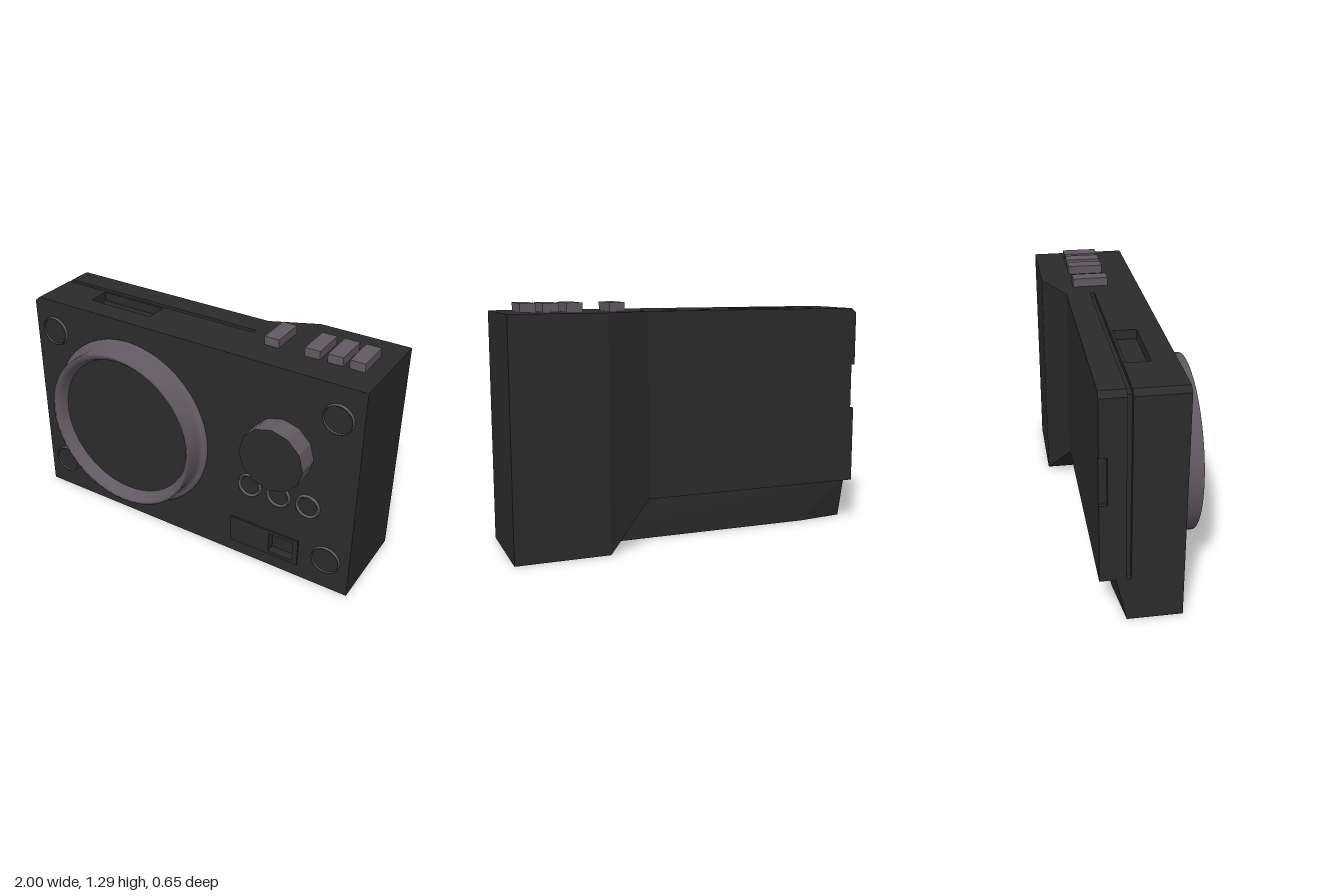
import * as THREE from 'three';
import { ConvexGeometry } from 'three/addons/geometries/ConvexGeometry.js';

const FRONT = 0.205, TOP = 1.24, STEP = 0.245;

export function createModel() {
  const model = new THREE.Group();
  model.name = 'pocketCamera';
  const black = new THREE.MeshStandardMaterial({ color: 0x2b2b2b });
  black.name = 'matte black';
  const grey = new THREE.MeshStandardMaterial({ color: 0x625a62 });
  grey.name = 'mauve grey';

  function add(name, geometry, material, x = 0, y = 0, z = 0) {
    const mesh = new THREE.Mesh(geometry, material);
    mesh.name = name;
    mesh.position.set(x, y, z);
    model.add(mesh);
    return mesh;
  }
  const shapeOf = (pts) => new THREE.Shape(pts.map(([x, y]) => new THREE.Vector2(x, y)));
  const extrude = (shape, depth) => new THREE.ExtrudeGeometry(shape, { depth, bevelEnabled: false });
  const rect = (x0, x1, y0, y1) => [[x0, y0], [x1, y0], [x1, y1], [x0, y1]];
  const hull = (pts) => new ConvexGeometry(pts.map((p) => new THREE.Vector3(...p)));

  // A body slice: front outline between two depths, with the clipped top corner
  function slice(name, z0, z1, { right = 1, bottom = 0, top = [], side = [], hole } = {}) {
    const shape = shapeOf([
      [-1, bottom], [right, bottom], [right, TOP], ...top, [-0.97, TOP], [-1, 1.215], ...side,
    ]);
    if (hole) shape.holes.push(new THREE.Path(shapeOf(hole).getPoints()));
    add(name, extrude(shape, z1 - z0), black, 0, 0, z0);
  }
  const switchHole = rect(0.53, 0.675, 0.1, 0.22);
  slice('frontShell', 0.165, FRONT, { hole: switchHole });
  slice('shellBehindFront', 0.08, 0.165);
  slice('shellWithTopRecess', -0.04, 0.08, {
    top: [[-0.31, TOP], [-0.31, 1.19], [-0.7, 1.19], [-0.7, TOP]],
  });
  slice('rearShell', -0.055, -0.04);
  add('seamGroove', extrude(shapeOf([
    [-0.97, 0], [1, 0], [1, TOP], [0.25, TOP], [0.25, 1.215], [-0.97, 1.215],
  ]), 0.025), black, 0, 0, -0.08);
  slice('backDoor', -0.17, -0.08, { right: 0.25, bottom: STEP });
  slice('backDoorEdge', -0.21, -0.17, {
    right: 0.25, bottom: STEP,
    side: [[-1, 0.92], [-0.98, 0.92], [-0.98, 0.67], [-1, 0.67]],
  });

  // Thick grip at the back, drawn from above
  const grip = extrude(shapeOf([
    [0.25, 0.08], [1, 0.08], [1, 0.325], [0.5, 0.325], [0.25, 0.21],
  ]), TOP - STEP);
  grip.rotateX(-Math.PI / 2);
  add('grip', grip, black, 0, STEP, 0);
  add('gripFoot', hull([
    [0.5, 0, -0.06], [1, 0, -0.06], [1, 0, -0.325], [0.5, 0, -0.325],
    [0.25, STEP, -0.06], [0.25, STEP, -0.21], [0.5, STEP, -0.325],
    [1, STEP, -0.325], [1, STEP, -0.06],
  ]), black);

  // Tapered base under the back door
  add('baseStep', hull([
    [-1, 0, -0.055], [0.9, 0, -0.055], [-1, STEP, -0.055], [0.9, STEP, -0.055],
    [-1, 0, -0.075], [-0.73, 0, -0.11], [0.9, 0, -0.11],
    [-1, STEP, -0.13], [0.9, STEP, -0.115],
  ]), black);

  // Revolved part facing forward
  function lathe(name, pts, sides, material, x, y) {
    const geometry = new THREE.LatheGeometry(pts.map(([r, h]) => new THREE.Vector2(r, h)), sides);
    geometry.rotateX(Math.PI / 2);
    add(name, geometry, material, x, y, FRONT);
  }
  function disc(name, r, sides, x, y, z) {
    add(name, new THREE.CircleGeometry(r, sides), black, x, y, z);
  }

  // Large round ring with its dark centre
  lathe('lensRing', [
    [0.505, 0], [0.505, 0.01], [0.485, 0.02], [0.466, 0.03], [0.466, 0.12],
    [0.45, 0.12], [0.43, 0.1], [0.412, 0.06], [0.412, 0.05],
  ], 48, grey, -0.37, 0.62);
  disc('lensFace', 0.414, 48, -0.37, 0.62, FRONT + 0.058);

  // Faceted dial
  const dial = new THREE.CylinderGeometry(0.18, 0.18, 0.12, 12, 1, true).toNonIndexed();
  dial.rotateX(Math.PI / 2);
  dial.computeVertexNormals();
  add('dialSide', dial, grey, 0.575, 0.78, FRONT + 0.06);
  const cap = new THREE.CircleGeometry(0.18, 12);
  cap.rotateZ(Math.PI / 2);
  add('dialFace', cap, black, 0.575, 0.78, FRONT + 0.12);

  // Corner studs: thin grey collar around a black disc
  for (const x of [-0.868, 0.867]) for (const y of [0.19, 1.06]) {
    lathe('cornerStudCollar', [[0.082, 0], [0.08, 0.014], [0.076, 0.014], [0.075, 0.004]], 24, grey, x, y);
    disc('cornerStud', 0.077, 24, x, y, FRONT + 0.006);
  }

  // Three small front buttons
  for (const x of [0.4, 0.572, 0.743]) {
    lathe('frontButtonCollar', [[0.07, 0], [0.066, 0.014], [0.062, 0.014], [0.053, 0.004]], 24, grey, x, 0.49);
    disc('frontButton', 0.055, 24, x, 0.49, FRONT + 0.005);
  }

  // Switch plate with an open square
  const plate = shapeOf(rect(0.29, 0.705, 0.08, 0.24));
  plate.holes.push(new THREE.Path(shapeOf(switchHole).getPoints()));
  add('switchPlate', extrude(plate, 0.009), black, 0, 0, FRONT);

  // Keys on the top
  for (const x of [0.402, 0.627, 0.75, 0.865]) {
    add('topKey', new THREE.BoxGeometry(0.082, 0.06, 0.193), grey, x, 1.256, -0.063);
  }
  return model;
}
